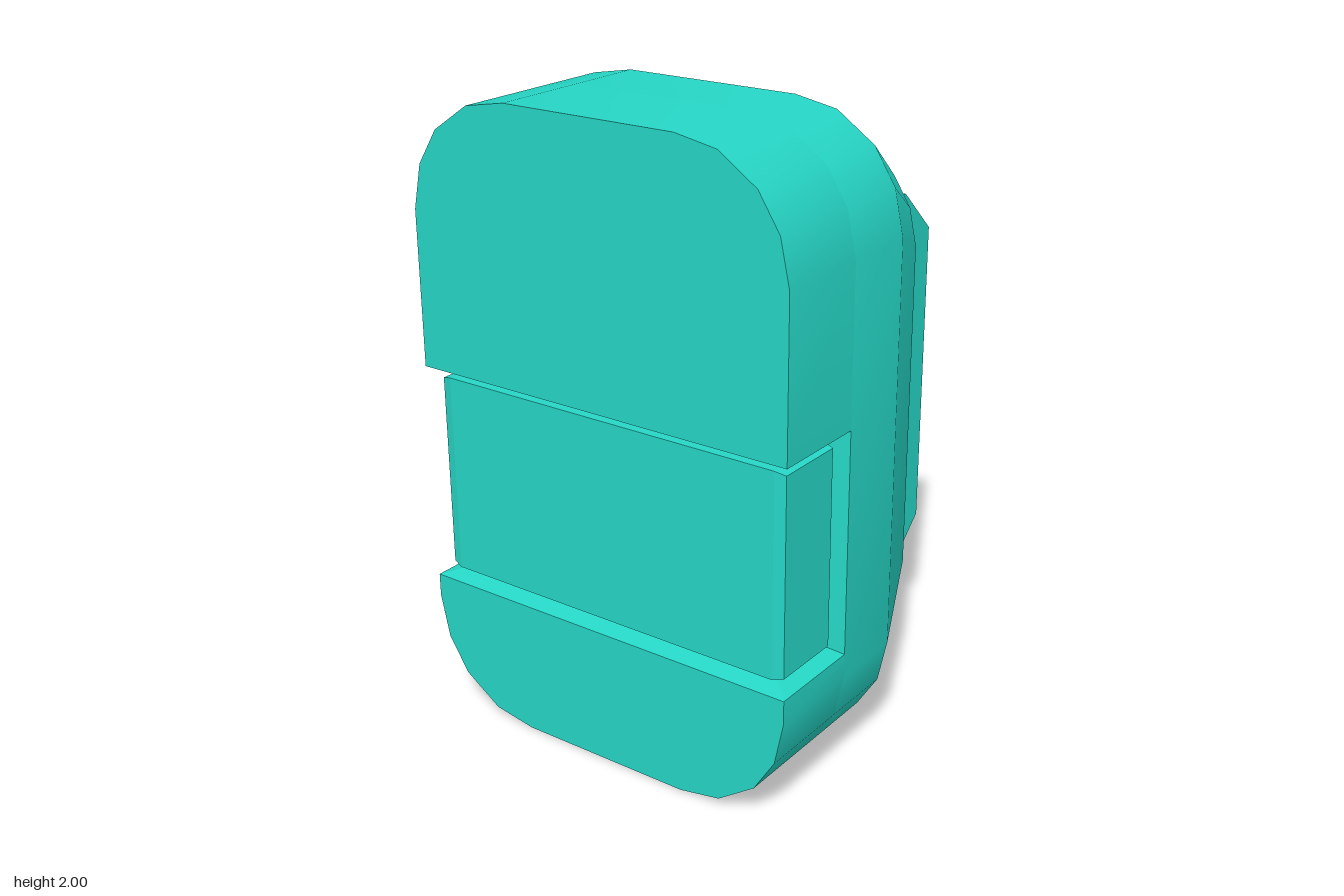
import * as THREE from 'three';
import { toCreasedNormals } from 'three/addons/utils/BufferGeometryUtils.js';
import { ConvexGeometry } from 'three/addons/geometries/ConvexGeometry.js';

const material = new THREE.MeshStandardMaterial({ color: 0x26d6c6 });

// Groove limits on the outer surface and at its floor: [x, yLow, yHigh, zBack, zFront]
const OUTER = { x: 0.66, y0: 0.435, y1: 1.145, z0: 0.32, z1: 0.64 };
const INNER = { x: 0.56, y0: 0.465, y1: 1.11, z0: 0.355, z1: 0.54 };

function shapeOf(points) {
  return new THREE.Shape(points.map(([x, y]) => new THREE.Vector2(x, y)));
}

// Faceted rounded corner of the housing, relative to its middle (0, 1)
const corner = [[0.66, 0.64], [0.63, 0.78], [0.56, 0.89], [0.435, 0.975], [0.295, 1]];

// Rounded end cap from the straight edge at height y, pointing up (1) or down (-1)
function capPoints(y, dir) {
  const right = corner.map(([x, h]) => [x, 1 + dir * h]);
  const left = right.map(([x, h]) => [-x, h]).reverse();
  return [[0.66, y], ...right, ...left, [-0.66, y]];
}

function prism(points, z0, z1) {
  const g = new THREE.ExtrudeGeometry(shapeOf(points), { depth: z1 - z0, bevelEnabled: false });
  return g.translate(0, 0, z0);
}

// Convex solid from corner points mirrored in x
function mirroredHull(points) {
  const all = points.flatMap(([x, y, z]) => [new THREE.Vector3(x, y, z), new THREE.Vector3(-x, y, z)]);
  return new ConvexGeometry(all);
}

// Side profile given as [z, y], extruded across x0..x1
function sideProfile(points, x0, x1) {
  const g = new THREE.ExtrudeGeometry(shapeOf(points), { depth: x1 - x0, bevelEnabled: false });
  return g.rotateY(-Math.PI / 2).translate(x1, 0, 0);
}

export function createModel() {
  const model = new THREE.Group();
  const add = (parent, name, geometry) => {
    const mesh = new THREE.Mesh(geometry, material);
    mesh.name = name;
    parent.add(mesh);
  };

  // Housing: full slab, tapered back, and two front blocks around the groove
  const housing = new THREE.Group();
  housing.name = 'housing';
  model.add(housing);
  const upper = capPoints(1, 1).slice(1, -1);
  const lower = capPoints(1, -1).slice(1, -1).reverse();
  const outline = [...upper, ...lower];
  const smooth = (g) => toCreasedNormals(g, 0.6);
  add(housing, 'middleSlab', smooth(prism(outline, 0.07, OUTER.z0)));

  const taper = prism(outline, -0.225, 0.07);
  const pos = taper.attributes.position;
  for (let i = 0; i < pos.count; i++) {
    if (pos.getZ(i) < 0) {
      pos.setXY(i, pos.getX(i) * 0.815, 1 + (pos.getY(i) - 1) * 0.815);
    }
  }
  taper.computeVertexNormals();
  add(housing, 'taperedBack', smooth(taper));

  add(housing, 'upperFront', smooth(prism(capPoints(OUTER.y1, 1), OUTER.z0, OUTER.z1)));
  add(housing, 'lowerFront', smooth(prism(capPoints(OUTER.y0, -1), OUTER.z0, OUTER.z1)));

  // Sloping groove walls above, below and behind, with a core at the groove floor
  for (const key of ['y0', 'y1']) {
    add(housing, key === 'y0' ? 'lowerGrooveWall' : 'upperGrooveWall', mirroredHull(
      [OUTER, INNER].flatMap((r) => [[r.x, r[key], r.z0], [r.x, r[key], r.z1]])));
  }
  add(housing, 'rearGrooveWall', mirroredHull(
    [OUTER, INNER].flatMap((r) => [[r.x, r.y0, r.z0], [r.x, r.y1, r.z0]])));
  const core = new THREE.BoxGeometry(2 * INNER.x, INNER.y1 - INNER.y0, INNER.z1 - INNER.z0);
  core.translate(0, (INNER.y0 + INNER.y1) / 2, (INNER.z0 + INNER.z1) / 2);
  add(housing, 'grooveCore', core);

  // Wrap-around panel in the groove, with bevelled ends
  const panelPoints = [];
  for (const [x, inset] of [[0.595, 0], [0.63, 0.009]]) {
    for (const y of [0.465 + inset, 1.11 - inset]) {
      for (const z of [0.355 + inset, 0.605 - inset]) panelPoints.push([x, y, z]);
    }
  }
  add(model, 'frontPanel', mirroredHull(panelPoints));

  // Rear mount: pocketed plate between two chamfered rails, set off centre
  const mount = new THREE.Group();
  mount.name = 'rearMount';
  model.add(mount);
  const plate = [
    [-0.225, 0.285], [-0.225, 1.595], [-0.485, 1.595], [-0.485, 1.265],
    [-0.425, 1.265], [-0.425, 0.615], [-0.485, 0.615], [-0.485, 0.285],
  ];
  const rail = [
    [-0.225, 0.285], [-0.225, 1.595], [-0.485, 1.595],
    [-0.643, 1.45], [-0.643, 0.43], [-0.485, 0.285],
  ];
  add(mount, 'mountPlate', sideProfile(plate, -0.34, 0.24));
  add(mount, 'rightRail', sideProfile(rail, -0.44, -0.34));
  add(mount, 'leftRail', sideProfile(rail, 0.24, 0.35));

  return model;
}
